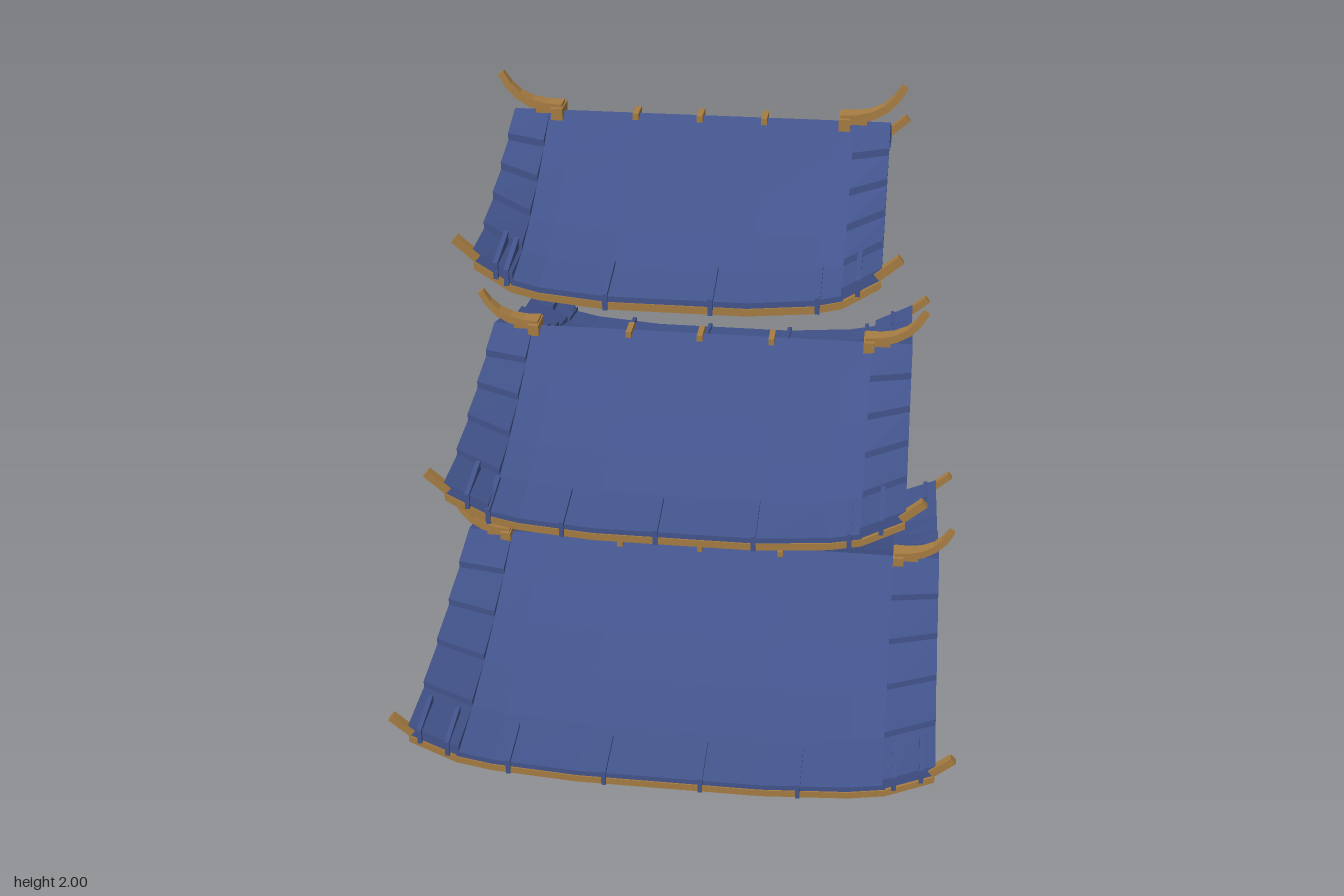
import * as THREE from 'three';

const blue = new THREE.MeshStandardMaterial({ name: 'roofBlue', color: 0x42548c, flatShading: true });
const brown = new THREE.MeshStandardMaterial({ name: 'trimBrown', color: 0xa67c42, flatShading: true });

const ROWS = [0, 0.185, 0.37, 0.565, 0.775, 1];       // tile row limits, ridge to eave
const LIFT = [[0, 0], [0.35, 0], [0.68, 0.018], [0.82, 0.038], [1, 0.105]]; // upturn of the eave
const THICK = 0.03;

function lerpTable(table, u) {
  for (let i = 1; i < table.length; i++) {
    const [a, ya] = table[i - 1], [b, yb] = table[i];
    if (u <= b || i === table.length - 1) return ya + (yb - ya) * (u - a) / (b - a);
  }
}

function add(parent, name, geometry, material) {
  const mesh = new THREE.Mesh(geometry, material);
  mesh.name = name;
  parent.add(mesh);
  return mesh;
}

function box(parent, name, material, size, pos, rotZ = 0) {
  const mesh = add(parent, name, new THREE.BoxGeometry(...size), material);
  mesh.position.set(...pos);
  mesh.rotation.z = rotZ;
  return mesh;
}

// Bend a box over a grid of x and t stations; height(x, t) is its top, drop its thickness
function slab(tier, xs, ts, height, drop) {
  const nx = xs.length - 1, nt = ts.length - 1;
  const g = new THREE.BoxGeometry(1, 1, 1, nx, 1, nt);
  const p = g.attributes.position;
  for (let i = 0; i < p.count; i++) {
    const x = xs[Math.round((p.getX(i) + 0.5) * nx)];
    const t = ts[Math.round((p.getZ(i) + 0.5) * nt)];
    p.setXYZ(i, x, height(x, t) - (p.getY(i) < 0 ? drop : 0), t * tier.depth);
  }
  g.computeVertexNormals();
  return g;
}

// Tapered, upswept ridge horn
function hornGeometry(tier) {
  const path = [[-0.15, 0.012], [-0.1, 0.014], [-0.055, 0.024], [-0.015, 0.045], [0.015, 0.075], [0.038, 0.112]];
  const n = path.length - 1;
  const g = new THREE.BoxGeometry(1, 1, 1, n, 1, 1);
  const p = g.attributes.position;
  for (let i = 0; i < p.count; i++) {
    const k = Math.round((p.getX(i) + 0.5) * n);
    const a = path[Math.max(k - 1, 0)], b = path[Math.min(k + 1, n)];
    const len = Math.hypot(b[0] - a[0], b[1] - a[1]);
    const h = p.getY(i) * (0.028 - 0.008 * k / n);
    p.setXYZ(i,
      tier.width + path[k][0] - h * (b[1] - a[1]) / len,
      tier.ridge + path[k][1] + h * (b[0] - a[0]) / len,
      p.getZ(i) * (0.06 - 0.04 * k / n));
  }
  g.computeVertexNormals();
  return g;
}

function buildSlope(tier, sign) {
  const slope = new THREE.Group();
  slope.name = sign > 0 ? 'frontSlope' : 'backSlope';
  const { width: W, depth: D, ridge, eave } = tier;
  const surface = (x, t) => {
    const s = Math.min(t, 1);
    return ridge - (ridge - eave) * (1 - Math.pow(1 - s, 1.55))
      + lerpTable(LIFT, Math.abs(x) / W) * Math.pow(s * (2 - s), 1.2);
  };
  // height on the straight facets between the rows
  const facet = (x, t) => {
    const i = Math.max(1, Math.min(5, ROWS.findIndex(r => r >= t) === -1 ? 5 : ROWS.findIndex(r => r >= t)));
    const a = ROWS[i - 1], b = ROWS[i];
    return surface(x, a) + (surface(x, b) - surface(x, a)) * (t - a) / (b - a);
  };

  // main sheet
  const mid = [-0.82, -0.68, -0.35, 0, 0.35, 0.68, 0.82].map(u => u * W);
  add(slope, 'roofSheet', slab(tier, mid, ROWS, surface, THICK), blue);

  // overlapping tiles along both side edges
  for (const side of [-1, 1]) {
    const xs = side > 0 ? [0.81 * W, W] : [-W, -0.81 * W];
    for (let i = 0; i < 5; i++) {
      const a = ROWS[i], b = ROWS[i + 1];
      const top = (x, t) => surface(x, t) + 0.022 * (t - a) / (b - a);
      add(slope, 'edgeTile', slab(tier, xs, [a, b], top, 0.036), blue);
    }
    // upturned eave tip
    box(slope, 'eaveTip', brown, [0.085, 0.024, 0.024],
      [side * (W + 0.02), surface(W, 1) + 0.022, D - 0.004], side * 0.72);
  }

  // eave trim
  const full = [-1, -0.82, -0.68, -0.35, 0, 0.35, 0.68, 0.82, 1].map(u => u * W);
  add(slope, 'eaveTrim', slab(tier, full, [1 - 0.012 / D, 1 + 0.004 / D],
    (x, t) => surface(x, 1) - 0.017, 0.022), brown);

  // short ribs at the eave
  for (const x0 of tier.ribs) {
    const x = x0 * sign;
    add(slope, 'eaveRib', slab(tier, [x - 0.007, x + 0.007], [1 - 0.145 / D, 1 + 0.009 / D],
      (px, t) => facet(x, t) + (Math.abs(x) > 0.82 * W ? 0.028 : 0.012), 0.05), blue);
  }
  if (sign < 0) slope.rotation.y = Math.PI;
  return slope;
}

function buildTier(tier, name) {
  const group = new THREE.Group();
  group.name = name;
  for (const sign of [1, -1]) group.add(buildSlope(tier, sign));

  // ridge nubs
  for (const x of [-tier.nub, 0, tier.nub])
    box(group, 'ridgeNub', brown, [0.018, 0.02, 0.076], [x, tier.ridge - 0.001, 0]);

  // horns and their collars
  for (const side of [1, -1]) {
    const end = new THREE.Group();
    end.name = side > 0 ? 'leftRidgeEnd' : 'rightRidgeEnd';
    add(end, 'horn', hornGeometry(tier), brown);
    box(end, 'hornCollar', brown, [0.035, 0.036, 0.085], [tier.width - 0.137, tier.ridge - 0.002, 0]);
    box(end, 'hornBase', brown, [0.06, 0.02, 0.05], [tier.width - 0.1, tier.ridge + 0.006, 0]);
    if (side < 0) end.rotation.y = Math.PI;
    group.add(end);
  }
  return group;
}

export function createModel() {
  const model = new THREE.Group();
  model.name = 'tieredRoof';
  const tiers = {
    lowerRoof: { width: 0.81, depth: 0.85, ridge: 0.355, eave: 0.039, nub: 0.275, ribs: [-0.775, -0.69, -0.5, -0.2, 0.1, 0.4, 0.69, 0.77] },
    middleRoof: { width: 0.678, depth: 0.71, ridge: 1.152, eave: 0.838, nub: 0.23, ribs: [-0.61, -0.55, -0.33, -0.05, 0.24, 0.52, 0.61] },
    upperRoof: { width: 0.573, depth: 0.605, ridge: 1.885, eave: 1.545, nub: 0.195, ribs: [-0.51, -0.48, -0.2, 0.1, 0.4, 0.51] },
  };
  for (const [name, tier] of Object.entries(tiers)) model.add(buildTier(tier, name));
  return model;
}
